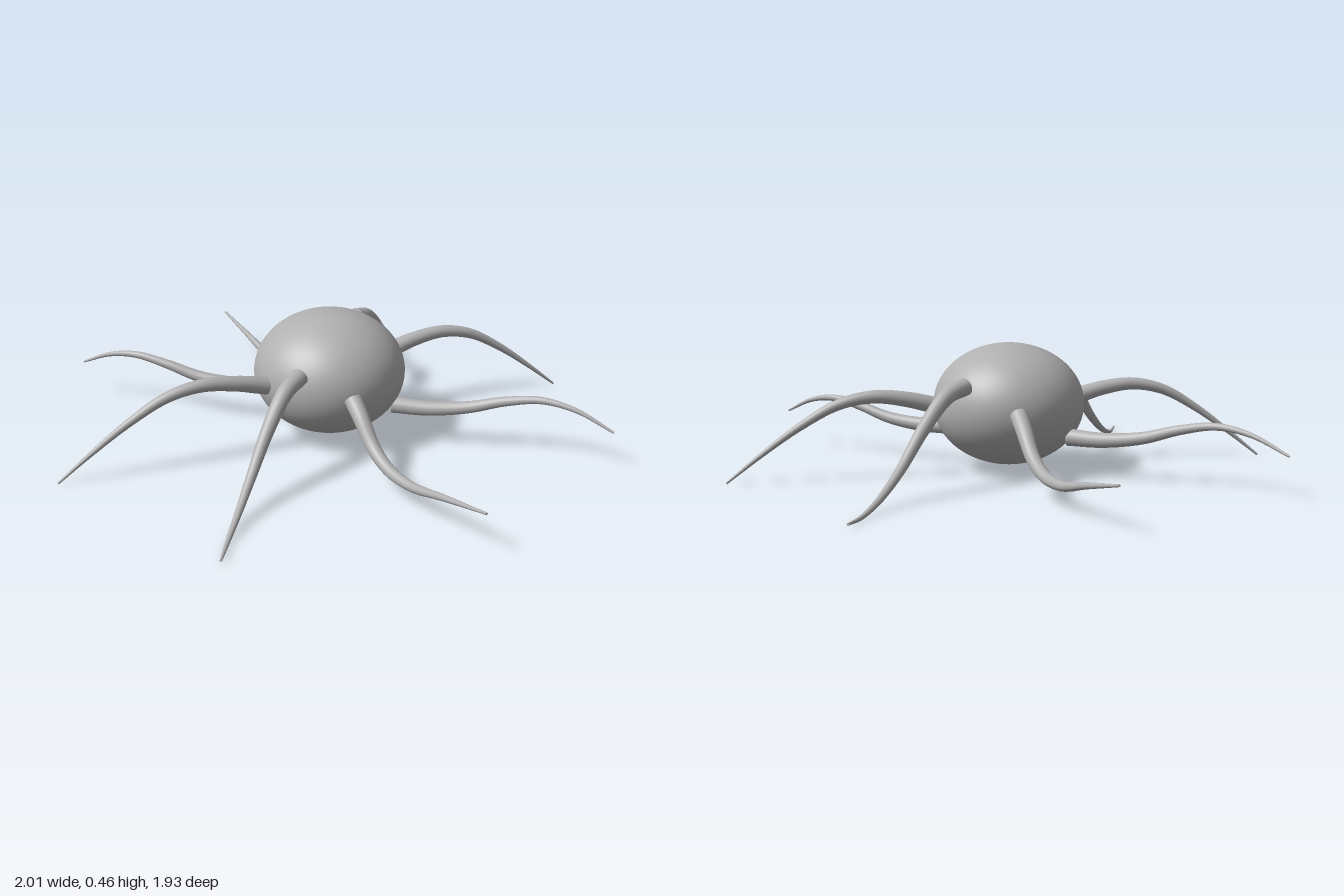
import * as THREE from 'three';

const ROOT_R = 0.031, TIP_R = 0.004;

// Round arm that tapers along a smooth path, closed at both ends
function makeArm(points, material, name) {
  const arm = new THREE.Group();
  arm.name = name;
  const curve = new THREE.CatmullRomCurve3(points.map(p => new THREE.Vector3(...p)));
  const steps = 48, sides = 20;
  const geo = new THREE.TubeGeometry(curve, steps, 1, sides);
  const pos = geo.attributes.position;
  const v = new THREE.Vector3();
  for (let i = 0; i <= steps; i++) {
    const centre = curve.getPointAt(i / steps);
    const r = THREE.MathUtils.lerp(ROOT_R, TIP_R, i / steps);
    for (let j = 0; j <= sides; j++) {
      const k = i * (sides + 1) + j;
      v.fromBufferAttribute(pos, k).sub(centre).multiplyScalar(r).add(centre);
      pos.setXYZ(k, v.x, v.y, v.z);
    }
  }
  const tube = new THREE.Mesh(geo, material);
  tube.name = name + 'Tube';
  arm.add(tube);

  // Flat end discs
  for (const [t, r, dir] of [[0, ROOT_R, -1], [1, TIP_R, 1]]) {
    const cap = new THREE.Mesh(new THREE.CircleGeometry(r, sides), material);
    cap.name = name + (t ? 'Tip' : 'Root');
    cap.position.copy(curve.getPointAt(t));
    cap.lookAt(curve.getTangentAt(t).multiplyScalar(dir).add(cap.position));
    arm.add(cap);
  }
  return arm;
}

export function createModel() {
  const model = new THREE.Group();
  model.name = 'tentacledCreature';
  const grey = new THREE.MeshStandardMaterial({ color: 0xb0b0b0 });
  grey.name = 'grey';

  // Flattened round body
  const body = new THREE.Mesh(new THREE.SphereGeometry(0.273, 64, 40), grey);
  body.name = 'body';
  body.scale.y = 0.22 / 0.273;
  body.position.y = 0.245;
  model.add(body);

  // Four arm paths, repeated half a turn around the body
  const paths = {
    sideArm: [[0.265, 0.25, -0.047], [0.38, 0.28, -0.046], [0.5, 0.293, -0.038],
      [0.62, 0.268, -0.025], [0.75, 0.195, -0.008], [0.88, 0.1, 0.012], [1, 0.004, 0.03]],
    forwardDiagonalArm: [[0.17, 0.14, 0.168], [0.27, 0.138, 0.25], [0.38, 0.155, 0.335],
      [0.48, 0.193, 0.42], [0.57, 0.215, 0.508], [0.65, 0.198, 0.6], [0.732, 0.143, 0.703]],
    frontArm: [[-0.043, 0.245, 0.27], [-0.042, 0.2, 0.33], [-0.037, 0.125, 0.41], [-0.027, 0.083, 0.5],
      [-0.01, 0.075, 0.61], [0.015, 0.112, 0.78], [0.04, 0.152, 0.965]],
    crossDiagonalArm: [[-0.215, 0.342, 0.215], [-0.29, 0.317, 0.262], [-0.38, 0.225, 0.322],
      [-0.47, 0.11, 0.392], [-0.55, 0.04, 0.475], [-0.62, 0.01, 0.565], [-0.675, 0.014, 0.655]],
  };
  for (const [name, points] of Object.entries(paths)) {
    model.add(makeArm(points, grey, name));
    const opposite = makeArm(points, grey, name + 'Opposite');
    opposite.rotation.y = Math.PI;
    model.add(opposite);
  }
  return model;
}
